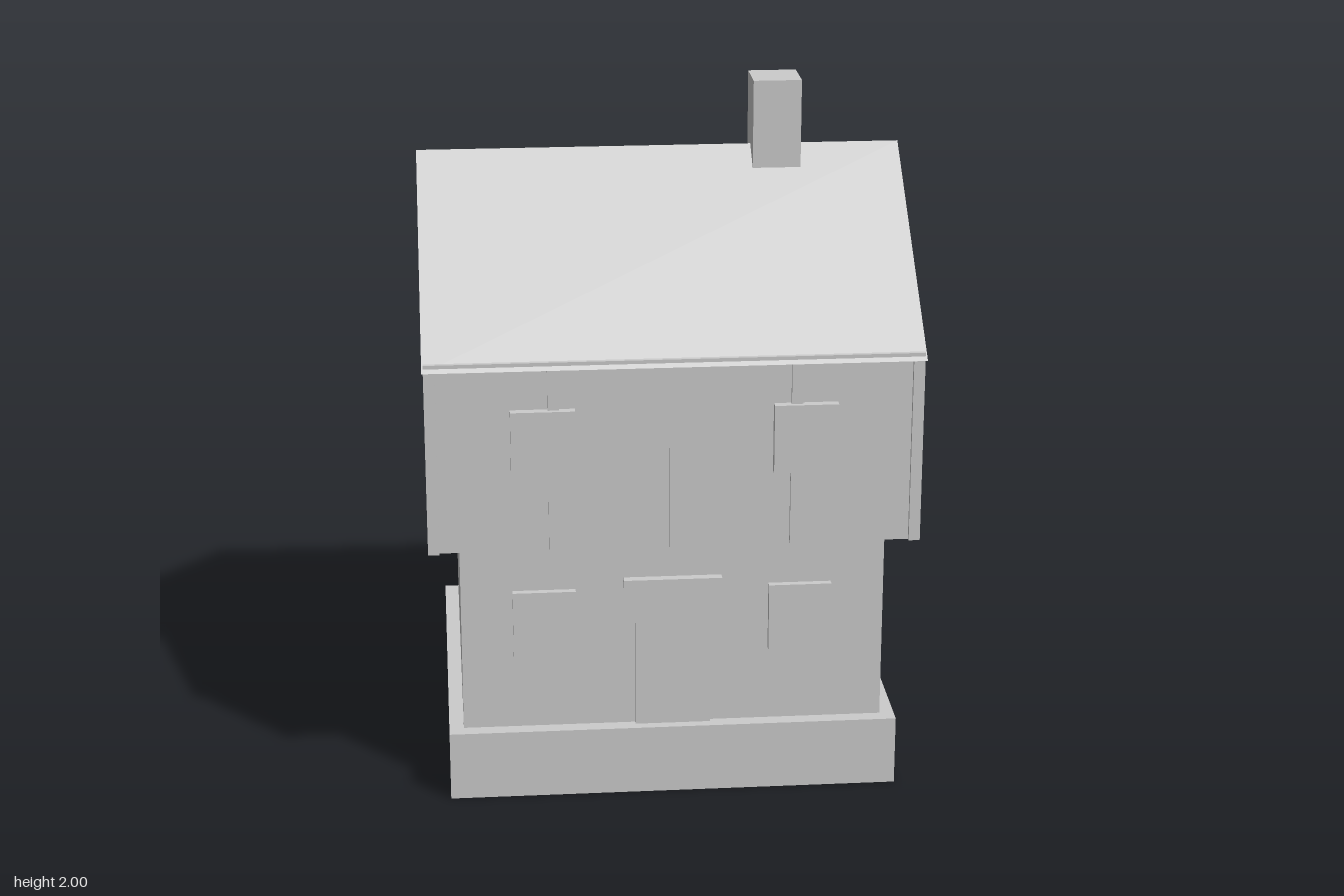
import * as THREE from 'three';

export function createModel() {
  const house = new THREE.Group();
  house.name = 'house';
  const grey = new THREE.MeshStandardMaterial({ color: 0xcccccc });
  grey.name = 'light grey';
  const greySheet = new THREE.MeshStandardMaterial({ color: 0xcccccc, side: THREE.DoubleSide });
  greySheet.name = 'light grey sheet';

  const add = (name, geometry, material = grey) => {
    const mesh = new THREE.Mesh(geometry, material);
    mesh.name = name;
    house.add(mesh);
    return mesh;
  };
  // Box given by its extents on each axis
  const box = (name, [x0, x1], [y0, y1], [z0, z1]) =>
    add(name, new THREE.BoxGeometry(x1 - x0, y1 - y0, z1 - z0))
      .position.set((x0 + x1) / 2, (y0 + y1) / 2, (z0 + z1) / 2);

  // Storeys
  box('plinth', [-0.65, 0.65], [0, 0.205], [-0.55, 0.55]);
  box('lowerStorey', [-0.608, 0.608], [0.205, 0.78], [-0.508, 0.508]);
  box('upperStorey', [-0.695, 0.695], [0.78, 1.34], [-0.575, 0.575]);

  // Timber posts on front and back, and the beam along the front
  for (const side of [1, -1]) {
    for (let i = -2; i <= 2; i++) {
      const x = i * 0.34;
      const z = side > 0 ? [0.575, 0.587] : [-0.587, -0.575];
      box(side > 0 ? 'frontPost' : 'backPost', [x - 0.016, x + 0.016], [0.78, 1.34], z);
    }
  }
  box('frontBeam', [-0.695, 0.695], [1.323, 1.34], [0.572, 0.588]);

  // Door and lintel
  box('door', [-0.11, 0.107], [0.205, 0.636], [0.508, 0.522]);
  box('lintel', [-0.143, 0.139], [0.636, 0.661], [0.508, 0.534]);

  // Windows
  for (const x of [-0.37, 0.365]) {
    box('lowerWindow', [x - 0.09, x + 0.09], [0.43, 0.63], [0.508, 0.528]);
    box('upperWindow', [x - 0.09, x + 0.09], [1.0, 1.2], [0.575, 0.6]);
  }

  // Gable block set back under the roof
  const gable = new THREE.Shape([
    new THREE.Vector2(-0.51, 1.34),
    new THREE.Vector2(0.51, 1.34),
    new THREE.Vector2(0, 1.798),
  ]);
  const gableGeometry = new THREE.ExtrudeGeometry(gable, { depth: 1.216, bevelEnabled: false });
  gableGeometry.translate(0, 0, -0.608).rotateY(Math.PI / 2);
  add('gable', gableGeometry);

  // Thin roof slopes
  const run = 0.6, rise = 0.48, ridge = 1.8;
  for (const side of [1, -1]) {
    const slope = new THREE.PlaneGeometry(1.4, Math.hypot(run, rise));
    slope.rotateX(-Math.atan2(run, rise));
    slope.translate(0, ridge - rise / 2, run / 2);
    if (side < 0) slope.rotateY(Math.PI);
    add(side > 0 ? 'frontRoof' : 'backRoof', slope, greySheet);
  }

  // Chimney
  box('chimney', [0.268, 0.407], [1.7, 2], [-0.07, 0.07]);

  return house;
}
